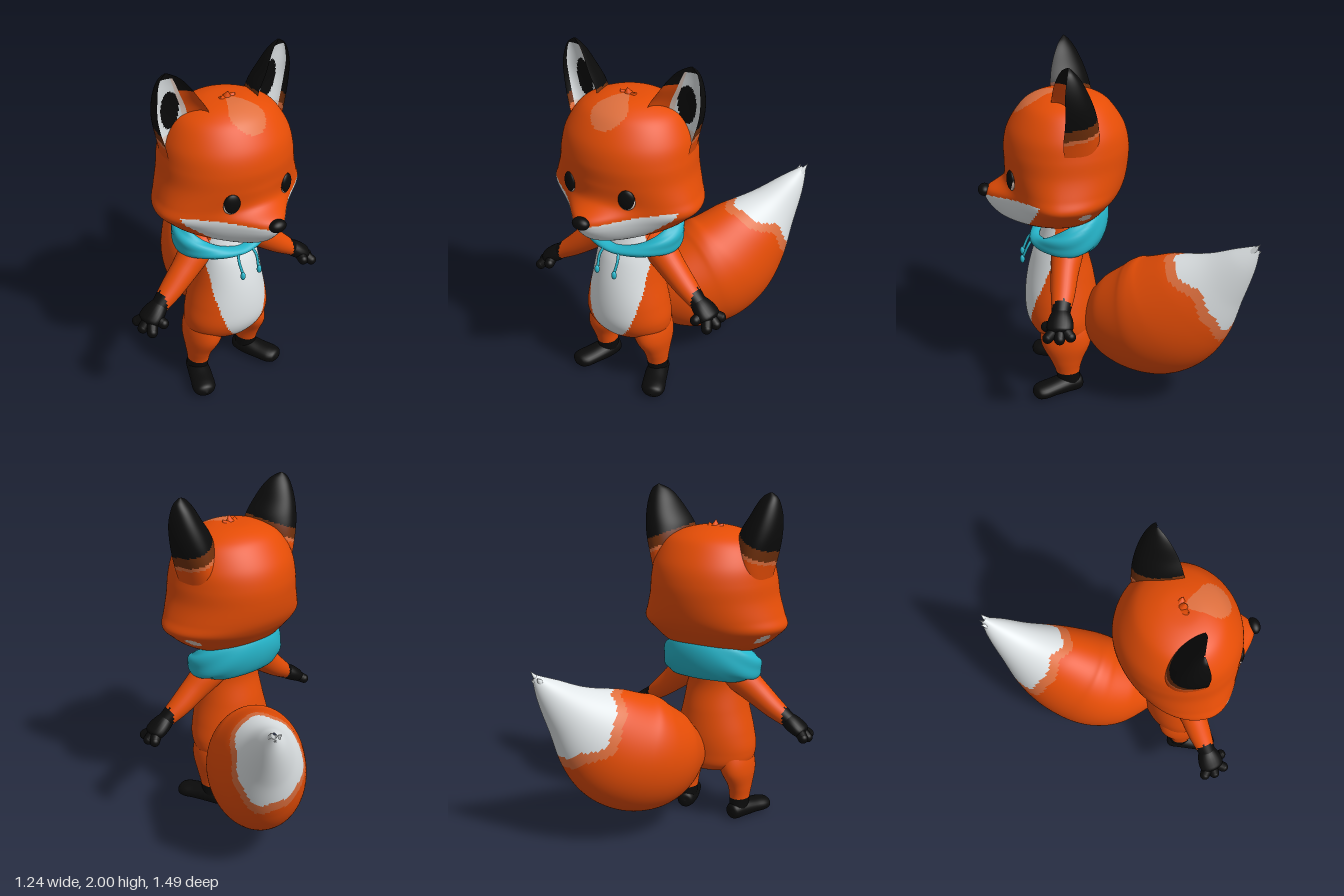
import * as THREE from 'three';

const mat = (name, color) => Object.assign(new THREE.MeshStandardMaterial({ color }), { name });
const orange = mat('orange fur', 0xe64d06);
const white = mat('white fur', 0xdfe4e6);
const black = mat('black', 0x0b0b0b);
const teal = mat('teal cloth', 0x26b5ca);
const brown = mat('brown fur', 0x70300c);
const pale = mat('pale orange fur', 0xe0703e);
const cream = mat('cream', 0xe2cdc2);

// Smooth interpolation through the rows of a small table, t in 0..1
function spline(rows, t) {
  const n = rows.length - 1, f = t * n, i = Math.min(Math.floor(f), n - 1), k = f - i;
  const at = j => rows[Math.max(0, Math.min(n, j))];
  const [p, a, b, q] = [at(i - 1), at(i), at(i + 1), at(i + 2)];
  return a.map((_, c) => a[c] + 0.5 * k * (b[c] - p[c]
    + k * (2 * p[c] - 5 * a[c] + 4 * b[c] - q[c] + k * (3 * (a[c] - b[c]) + q[c] - p[c]))));
}

// Surface closed in u; pick(x, y, z, angle, v) chooses the material of each patch
function surface(name, nu, nv, fn, pick) {
  const pos = [], lists = new Map();
  const point = (i, j) => fn(i / nu * Math.PI * 2, j / nv);
  for (let j = 0; j <= nv; j++) for (let i = 0; i < nu; i++) pos.push(...point(i, j));
  for (let j = 0; j < nv; j++) for (let i = 0; i < nu; i++) {
    const m = pick(...point(i + 0.5, j + 0.5), (i + 0.5) / nu * Math.PI * 2, (j + 0.5) / nv);
    if (!lists.has(m)) lists.set(m, []);
    const a = j * nu + i, b = j * nu + (i + 1) % nu;
    lists.get(m).push(a, b, b + nu, a, b + nu, a + nu);
  }
  const geo = new THREE.BufferGeometry(), index = [], mats = [];
  for (const [m, list] of lists) {
    geo.addGroup(index.length, list.length, mats.length);
    mats.push(m);
    for (const k of list) index.push(k);
  }
  geo.setAttribute('position', new THREE.Float32BufferAttribute(pos, 3));
  geo.setIndex(index);
  geo.computeVertexNormals();
  const mesh = new THREE.Mesh(geo, mats.length > 1 ? mats : mats[0]);
  mesh.name = name;
  return mesh;
}

// Tapered tube along rows of [x, y, z, side radius, upper radius]; s = -1 mirrors it
function limb(name, rows, nu, nv, pick, s = 1) {
  const up = new THREE.Vector3(0, 1, 0);
  const path = rows.map(([x, ...r]) => [s * x, ...r]);
  return surface(name, nu, nv, (a, v) => {
    const [x, y, z, rh, rv] = spline(path, v);
    const p = spline(path, Math.max(0, v - 0.02)), q = spline(path, Math.min(1, v + 0.02));
    const d = new THREE.Vector3(q[0] - p[0], q[1] - p[1], q[2] - p[2]).normalize();
    const side = d.clone().cross(up).normalize(), u = side.clone().cross(d);
    const c = side.multiplyScalar(Math.max(rh, 0) * Math.sin(a)).addScaledVector(u, Math.max(rv, 0) * Math.cos(a));
    return [x + c.x, y + c.y, z + c.z];
  }, pick);
}

function ball(name, m, pos, scale, turn = 0) {
  const b = new THREE.Mesh(new THREE.SphereGeometry(1, 28, 20), m);
  b.name = name;
  b.position.set(...pos);
  b.scale.set(...scale);
  b.rotation.y = turn;
  return b;
}

function spike(name, m, from, to, r) {
  const a = new THREE.Vector3(...from), d = new THREE.Vector3(...to).sub(a);
  const c = new THREE.Mesh(new THREE.ConeGeometry(r, d.length(), 12), m);
  c.name = name;
  c.position.copy(a).addScaledVector(d, 0.5);
  c.quaternion.setFromUnitVectors(new THREE.Vector3(0, 1, 0), d.normalize());
  return c;
}

// Head rows: y, half width, widest z, front z, back z, muzzle length
const HEAD = [
  [1.04, 0, 0.34, 0.35, 0.33, 0], [1.05, 0.15, 0.32, 0.5, 0.18, 0.03], [1.08, 0.25, 0.3, 0.53, 0.1, 0.09],
  [1.12, 0.325, 0.3, 0.54, 0.05, 0.13], [1.18, 0.395, 0.3, 0.55, 0, 0.16], [1.235, 0.442, 0.3, 0.555, -0.04, 0.15],
  [1.3, 0.42, 0.3, 0.57, -0.07, 0.04], [1.4, 0.387, 0.29, 0.595, -0.088, 0.005], [1.5, 0.372, 0.28, 0.6, -0.09, 0],
  [1.6, 0.347, 0.27, 0.575, -0.065, 0], [1.7, 0.285, 0.26, 0.51, 0, 0], [1.75, 0.21, 0.26, 0.45, 0.06, 0],
  [1.78, 0.11, 0.26, 0.37, 0.15, 0], [1.787, 0, 0.26, 0.27, 0.25, 0]];

function head() {
  const g = new THREE.Group();
  g.name = 'head';
  g.add(surface('skull and muzzle', 144, 110, (a, v) => {
    const [y, w, zc, zf, zb, m] = spline(HEAD, v);
    const c = Math.cos(a), x = Math.max(w, 0) * Math.sin(a);
    const z = c > 0 ? zc + (zf - zc) * c + m * Math.sqrt(c) * Math.exp(-((x / 0.17) ** 2)) : zc + (zc - zb) * c;
    return [x, y, z];
  }, (x, y, z) => {
    const ax = Math.abs(x);
    // White muzzle and cheeks
    if (z > 0.42 + 0.35 * (1.24 - y) && y < 1.2 + 0.18 * Math.min(ax, 0.33)) return white;
    // Forehead blaze
    if (y > 1.6 && z > 0.28 && ((ax / 0.1) ** 2 + ((z - 0.445) / 0.085) ** 2 < 1
      || (z < 0.445 && ax < 0.1 * ((z - 0.28) / 0.165) ** 0.7))) return pale;
    // Small pale spot behind each cheek
    if (ax > 0.3 && ((z - 0.17) / 0.035) ** 2 + ((y - 1.185) / 0.028) ** 2 < 1) return cream;
    return orange;
  }));
  g.add(ball('nose', black, [0, 1.222, 0.715], [0.05, 0.034, 0.036]));
  for (const [x, y] of [[0, 1.82], [0.045, 1.8], [-0.045, 1.8]])
    g.add(spike('hair tuft', orange, [x * 0.6, 1.765, 0.27], [x, y, 0.285], 0.035));
  for (const s of [1, -1]) {
    g.add(ball('eye rim', cream, [s * 0.182, 1.333, 0.561], [0.045, 0.049, 0.014], s * 0.35));
    g.add(ball('eye', black, [s * 0.18, 1.342, 0.561], [0.045, 0.056, 0.02], s * 0.35));
    g.add(ear(s));
  }
  return g;
}

// Cupped ear, rows: y, inner x, outer x, rim z, back z
const EAR = [[1.52, 0.17, 0.365, 0.3, 0.1], [1.6, 0.15, 0.385, 0.31, 0.09], [1.7, 0.145, 0.412, 0.305, 0.1],
  [1.78, 0.165, 0.425, 0.3, 0.12], [1.86, 0.216, 0.426, 0.295, 0.15], [1.93, 0.262, 0.415, 0.28, 0.185],
  [1.975, 0.305, 0.396, 0.265, 0.218], [2, 0.355, 0.362, 0.25, 0.243]];

function ear(s) {
  return surface('ear', 96, 72, (a, v) => {
    const [y, x0, x1, zf, zb] = spline(EAR, v), c = Math.cos(a);
    const tilt = -0.25 * (x1 - x0) / 2 * s * Math.sin(a);
    return [s * (x0 + x1) / 2 + (x1 - x0) / 2 * Math.sin(a), y, zf + tilt + (zf - zb) * c * (c > 0 ? -0.45 : 1)];
  }, (x, y, z, a) => {
    const p = s * Math.sin(a), ax = s * x, band = y + 0.05 * p;
    if (Math.cos(a) > 0 && p < 0.93 && y < 1.965) {
      if (((ax - 0.32 - (y - 1.77) * 0.08) / 0.052) ** 2 + ((y - 1.775) / 0.112) ** 2 < 1) return black;
      if (p < -0.42) return y > 1.89 ? black : orange;
      return p < -0.25 || y < 1.64 ? cream : white;
    }
    return band > 1.73 ? black : band > 1.67 ? brown : band > 1.65 ? pale : orange;
  });
}

// Torso rows: y, half width, front z, back z
const TORSO = [[0.305, 0, 0.29, 0.27], [0.325, 0.14, 0.41, 0.15], [0.37, 0.235, 0.465, 0.1], [0.45, 0.257, 0.503, 0.09],
  [0.56, 0.238, 0.51, 0.09], [0.7, 0.203, 0.495, 0.11], [0.84, 0.178, 0.46, 0.14], [0.95, 0.165, 0.415, 0.135],
  [1.1, 0.13, 0.38, 0.12]];
// Leg rows: y, centre x, half width, front z, back z
const LEG = [[0.04, 0.18, 0.055, 0.33, 0.2], [0.14, 0.18, 0.06, 0.345, 0.205], [0.22, 0.18, 0.07, 0.375, 0.185],
  [0.32, 0.164, 0.094, 0.425, 0.14], [0.42, 0.14, 0.1, 0.425, 0.14], [0.55, 0.11, 0.07, 0.41, 0.17]];
const FOOT = [[0.16, 0.055, 0.19, 0, 0], [0.165, 0.055, 0.205, 0.045, 0.045], [0.185, 0.058, 0.28, 0.063, 0.054],
  [0.222, 0.052, 0.37, 0.067, 0.046], [0.25, 0.047, 0.43, 0.067, 0.043], [0.262, 0.046, 0.465, 0.047, 0.032],
  [0.267, 0.046, 0.482, 0, 0]];
const ARM = [[0.1, 0.94, 0.25, 0.08, 0.07], [0.18, 0.905, 0.265, 0.09, 0.09], [0.28, 0.822, 0.285, 0.077, 0.077],
  [0.38, 0.74, 0.3, 0.066, 0.062], [0.47, 0.675, 0.315, 0.05, 0.046], [0.51, 0.648, 0.32, 0.05, 0.04]];
const PALM = [[0.45, 0.69, 0.313, 0.04, 0.04], [0.495, 0.658, 0.317, 0.064, 0.048], [0.54, 0.628, 0.322, 0.072, 0.044],
  [0.565, 0.61, 0.325, 0.055, 0.036], [0.58, 0.6, 0.327, 0, 0]];

function body() {
  const g = new THREE.Group();
  g.name = 'body';
  g.add(surface('torso', 128, 100, (a, v) => {
    const [y, w, zf, zb] = spline(TORSO, v);
    return [Math.max(w, 0) * Math.sin(a), y, (zf + zb) / 2 + (zf - zb) / 2 * Math.cos(a)];
  }, (x, y, z) => {
    const w = 0.175 * Math.sqrt(Math.max(0, 1 - (Math.max(0, 0.72 - y) / 0.37) ** 2)) - Math.max(0, y - 0.85) * 0.2;
    return z > 0.33 && Math.abs(x) < w ? white : orange;
  }));
  for (const s of [1, -1]) {
    g.add(surface('leg', 40, 40, (a, v) => {
      const [y, x, w, zf, zb] = spline(LEG, v);
      return [s * x + w * Math.sin(a), y, (zf + zb) / 2 + (zf - zb) / 2 * Math.cos(a)];
    }, (x, y) => y < 0.145 ? black : orange));
    g.add(limb('foot', FOOT, 28, 40, () => black, s));
    g.add(limb('arm', ARM, 32, 40, x => Math.abs(x) > 0.455 ? black : orange, s));
    const hand = new THREE.Group();
    hand.name = 'hand';
    hand.add(limb('palm', PALM, 24, 20, () => black, s));
    // Fingers and thumb fan out from the palm
    for (const [x, y, z] of [[0.588, 0.594, 0.268], [0.592, 0.583, 0.327], [0.572, 0.583, 0.39], [0.502, 0.615, 0.395]]) {
      const finger = [[0.525, 0.638, 0.32, 0.032, 0.032], [(0.525 + x) / 2, (0.638 + y) / 2, (0.32 + z) / 2, 0.032, 0.032],
        [x, y, z, 0.029, 0.029]];
      hand.add(limb('finger', finger, 16, 8, () => black, s));
      hand.add(ball('fingertip', black, [s * x, y, z], [0.029, 0.029, 0.029]));
    }
    g.add(hand);
  }
  return g;
}

// Collar: a ring that is low and thin in front, tall and hooded at the back
function scarf() {
  const g = new THREE.Group();
  g.name = 'scarf';
  g.add(surface('collar', 36, 96, (f, v) => {
    const a = (v * 2 - 1) * Math.PI, back = (1 - Math.cos(a)) / 2, c = Math.cos(f);
    const fold = 1 + 0.09 * Math.sin(5 * f + 3 * Math.cos(a * 2)) * Math.sin(a) ** 2;
    const out = (0.04 + 0.014 * back) * c * fold;
    const h = 0.024 + 0.115 * back ** 0.8;
    const lean = 0.05 * back * Math.sin(f);
    return [(0.26 + out + lean * 0.2) * Math.sin(a), 0.922 + 0.12 * back ** 0.75 - h * Math.sin(f) * 0.9 * fold,
      0.255 + (0.178 + out - lean * 0.3) * Math.cos(a)];
  }, () => teal));
  for (const s of [1, -1]) {
    const path = new THREE.CatmullRomCurve3([[0.045, 0.935, 0.455], [0.06, 0.89, 0.485], [0.055, 0.82, 0.515]]
      .map(([x, y, z]) => new THREE.Vector3(s * x, y, z)));
    const cord = new THREE.Mesh(new THREE.TubeGeometry(path, 16, 0.008, 8), teal);
    cord.name = 'cord';
    g.add(cord, ball('cord end', teal, [s * 0.057, 0.812, 0.518], [0.014, 0.025, 0.014]));
  }
  return g;
}

// Bushy tail sweeping back, up and to the left
function tail() {
  const g = new THREE.Group();
  g.name = 'tail';
  const rows = [[0.05, 0.44, 0.14, 0.1, 0.12], [0.115, 0.455, 0.02, 0.215, 0.25], [0.2, 0.49, -0.15, 0.275, 0.335],
    [0.287, 0.56, -0.29, 0.27, 0.345], [0.373, 0.695, -0.43, 0.217, 0.285], [0.455, 0.845, -0.56, 0.135, 0.165],
    [0.522, 0.98, -0.66, 0.07, 0.08], [0.563, 1.07, -0.72, 0.014, 0.016]];
  g.add(limb('brush', rows, 96, 110, (x, y, z, a, v) => {
    const t = v * 7 - 0.15 * Math.sin(a) + 0.12 * Math.sin(3 * a) + 0.05 * Math.sin(7 * a + 1);
    return t > 4.4 ? white : t > 4.14 ? pale : orange;
  }));
  for (const tip of [[0.585, 1.1, -0.725], [0.53, 1.075, -0.742], [0.57, 1.055, -0.742]])
    g.add(spike('tail tuft', white, [0.535, 1, -0.67], tip, 0.04));
  return g;
}

export function createModel() {
  const model = new THREE.Group();
  model.name = 'fox';
  model.add(head(), body(), scarf(), tail());
  return model;
}
